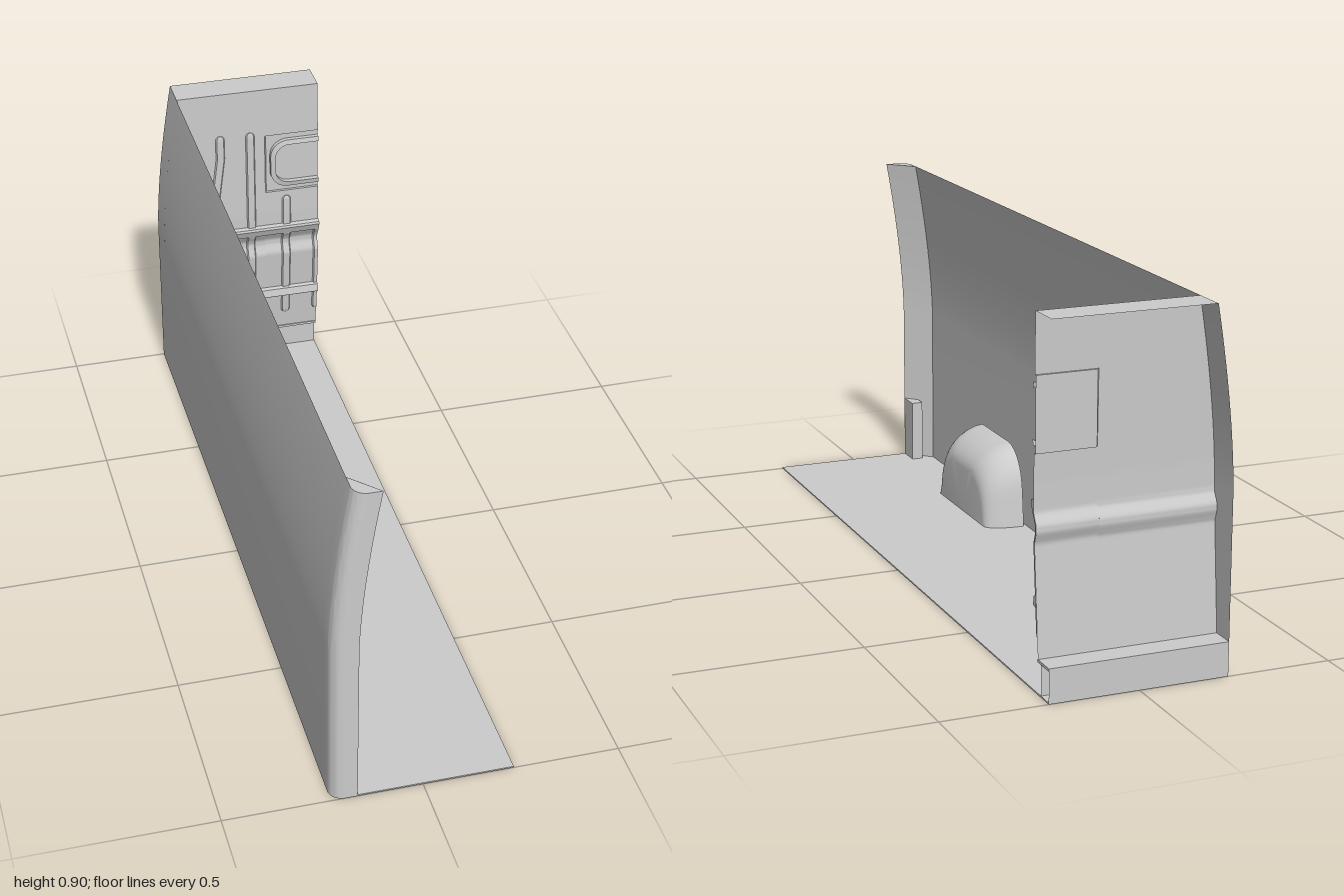
import * as THREE from 'three';
import { toCreasedNormals } from 'three/addons/utils/BufferGeometryUtils.js';

const material = new THREE.MeshStandardMaterial({ color: 0xcccccc, side: THREE.DoubleSide });
const TOP = 0.905, RIGHT = 0.23;

// Piecewise-linear lookup through [input, output] pairs
function lookup(table, v) {
  for (let i = 1; i < table.length; i++) {
    const [a, fa] = table[i - 1], [b, fb] = table[i];
    if (v <= b) return fa + (fb - fa) * Math.max(0, (v - a) / (b - a));
  }
  return table[table.length - 1][1];
}

// Side wall lean: straight below, curving inwards above
const wallX = y => y < 0.45 ? -0.231 : -0.231 + 0.051 * Math.pow((y - 0.45) / (TOP - 0.45), 1.6);

// Bulkhead depth, with a shallow groove under the upper rail
const bulkheadZ = y => lookup([
  [0.085, -0.937], [0.36, -0.912], [0.373, -0.917], [0.388, -0.922], [0.402, -0.922],
  [0.416, -0.915], [0.43, -0.906], [0.5, -0.905], [TOP, -0.91]], y);

const range = (a, b, n) => Array.from({ length: n + 1 }, (_, i) => a + (b - a) * i / n);

// Surface through rows of [x, y, z] points
function loft(rows, crease = 0.5) {
  const n = rows[0].length, index = [];
  for (let r = 0; r < rows.length - 1; r++) {
    for (let c = 0; c < n - 1; c++) {
      const a = r * n + c, b = a + n;
      index.push(a, a + 1, b, b, a + 1, b + 1);
    }
  }
  const g = new THREE.BufferGeometry();
  g.setAttribute('position', new THREE.Float32BufferAttribute(rows.flat(2), 3));
  g.setIndex(index);
  return toCreasedNormals(g, crease);
}

// U-shaped outline, open towards +x
function uOutline(x, y0, y1, r) {
  const pts = [[RIGHT, y1]];
  for (const a of range(Math.PI / 2, Math.PI, 8)) pts.push([x + r + r * Math.cos(a), y1 - r + r * Math.sin(a)]);
  for (const a of range(Math.PI, Math.PI * 1.5, 8)) pts.push([x + r + r * Math.cos(a), y0 + r + r * Math.sin(a)]);
  pts.push([RIGHT, y0]);
  return pts;
}

export function createModel() {
  const model = new THREE.Group();
  const add = (name, geometry, parent = model) => {
    const mesh = new THREE.Mesh(geometry, material);
    mesh.name = name;
    parent.add(mesh);
    return mesh;
  };
  const box = (name, x0, x1, y0, y1, z0, z1) =>
    add(name, new THREE.BoxGeometry(x1 - x0, y1 - y0, z1 - z0))
      .position.set((x0 + x1) / 2, (y0 + y1) / 2, (z0 + z1) / 2);

  // Floor with one rounded corner under the pillar
  const floor = new THREE.Shape([
    [RIGHT, -1], [RIGHT, 1], [-0.231, 1],
    ...range(Math.PI, Math.PI * 1.5, 8).map(a => [-0.196 + 0.035 * Math.cos(a), -0.965 + 0.035 * Math.sin(a)]),
  ].map(p => new THREE.Vector2(...p)));
  add('floor', new THREE.ExtrudeGeometry(floor, { depth: 0.004, bevelEnabled: false }).rotateX(-Math.PI / 2));

  // Side wall wrapping round into the door pillar and its inner chamfer
  const section = [[0, -1], [0, 0.93],
    ...range(Math.PI, Math.PI / 2, 8).map(a => [0.035 + 0.035 * Math.cos(a), 0.965 + 0.035 * Math.sin(a)]),
    [0.067, 1], [0.001, 0.93]];
  add('sideWall', loft([0, ...range(0.45, TOP, 18)].map(y => section.map(([d, z]) => [wallX(y) + d, y, z]))));
  const capEdge = section.slice(1, -1).map(([d, z]) => [wallX(TOP) + d, TOP, z]);
  add('pillarCap', loft([capEdge, capEdge.map(() => [wallX(TOP), TOP, 0.93])]));
  box('pillarFoot', -0.196, -0.164, 0, 0.18, 0.932, 0.999);

  // Wheel arch: an outline that shrinks as it bulges out of the wall
  const archRows = range(0, Math.PI / 2, 12).map(a => {
    const k = 1 - Math.cos(a), x = -0.222 + 0.105 * Math.sin(a);
    const h = 0.22 - 0.07 * k - 0.018 * Math.sin(a), w = 0.205 - 0.04 * k, ry = Math.min(0.12, h), rz = 0.105;
    const half = [[0, w], [h - ry, w - 0.01],
      ...range(0, Math.PI / 2, 10).slice(1).map(t => [
        h - ry + ry * Math.sin(t), w - 0.012 - rz + rz * Math.cos(t)])];
    return [...half.map(([y, z]) => [x, y, 0.41 + z]), ...half.reverse().map(([y, z]) => [x, y, 0.41 - z])];
  });
  archRows.push(archRows[12].map(() => [-0.117, 0, 0.41]));
  add('wheelArch', loft(archRows, 0.7));

  // Bulkhead sheet, leaving an opening for the window tray
  const bulkhead = new THREE.Group();
  bulkhead.name = 'bulkhead';
  model.add(bulkhead);
  const sheet = (x0, y0, y1) => loft(range(y0, y1, Math.ceil((y1 - y0) / 0.007))
    .map(y => [[x0 ?? wallX(y), y, bulkheadZ(y)], [x0 === null ? 0.072 : RIGHT, y, bulkheadZ(y)]]));
  add('mainSheet', sheet(null, 0.085, TOP), bulkhead);
  add('lowerSheet', sheet(0.072, 0.085, 0.573), bulkhead);
  add('upperSheet', sheet(0.072, 0.757, TOP), bulkhead);

  // Recessed window tray with a raised U-shaped frame
  const tray = uOutline(0.072, 0.573, 0.757, 0.002);
  const trayZ = -0.914;
  add('windowTray', loft([
    tray.map(([x, y]) => [x, y, bulkheadZ(y)]),
    tray.map(([x, y]) => [x + (RIGHT - x) * 0.03, y, trayZ]),
    tray.map(() => [RIGHT, 0.665, trayZ])]), bulkhead);
  const outer = uOutline(0.088, 0.59, 0.74, 0.05), inner = uOutline(0.102, 0.604, 0.726, 0.04);
  const ring = (pts, z) => pts.map(([x, y]) => [x, y, z]);
  add('windowFrame', loft([ring(outer, trayZ), ring(outer, -0.901), ring(inner, -0.898), ring(inner, trayZ)]), bulkhead);

  // Pressed ribs: centre lines as [y, x] pairs, with rounded ends
  const ribs = [
    [[0.147, -0.086], [0.5, -0.086], [0.7, -0.059], [0.775, -0.059]],
    [[0.138, 0.029], [0.775, 0.029]],
    [[0.138, 0.134], [0.557, 0.134]],
    [[0.138, 0.229], [0.445, 0.229]],
  ];
  for (const line of ribs) {
    const y0 = line[0][0], y1 = line[line.length - 1][0], r = 0.013;
    const ends = [0, 0.001, 0.003, 0.006, 0.009];
    const ys = [...ends.map(e => y0 + e), ...range(y0 + r, y1 - r, 90), ...ends.map(e => y1 - e).reverse()];
    add('rib', loft(ys.map(y => {
      const d = Math.min(r, y - y0, y1 - y), s = Math.sqrt(Math.max(0, 1 - (1 - d / r) ** 2));
      const cx = lookup(line, y), z = bulkheadZ(y) + 0.0008;
      return [[-r, 0], [-r * 0.75, 0.005 * s], [r * 0.75, 0.005 * s], [r, 0]]
        .map(([dx, dz]) => [Math.min(RIGHT, cx + dx * s), y, z + dz]);
    })), bulkhead);
  }

  // Horizontal rails across the bulkhead: [y, height above the sheet]
  const rails = {
    upperRail: [[0.464, 0.001], [0.461, 0.014], [0.454, 0.016], [0.432, 0.007], [0.429, 0.001]],
    lowerRail: [[0.237, 0.001], [0.234, 0.013], [0.213, 0.019], [0.21, 0.018], [0.208, 0.001]],
  };
  for (const [name, profile] of Object.entries(rails)) {
    const at = x => profile.map(([y, h]) => [x, y, bulkheadZ(y) + h]);
    const foot = x => profile.map(([y]) => [x, y, bulkheadZ(y) + 0.001]);
    add(name, loft([foot(-0.226), at(-0.226), at(RIGHT), foot(RIGHT)]), bulkhead);
  }

  // Header flange behind the top of the bulkhead
  add('headerFlange', loft([-0.91, -1].map(z => [[wallX(TOP), TOP, z], [RIGHT, TOP, z]])));

  // Hollow step below the bulkhead: ledge, rear face and gently jogged kick panel
  box('stepLedge', -0.231, RIGHT, 0.08, 0.087, -1, -0.934);
  add('stepBack', loft([0, 0.087].map(y => [[-0.231, y, -1], [RIGHT, y, -1]])));
  const kick = [[-0.231, -0.94], ...range(0, 1, 8).map(t =>
    [-0.053 + 0.027 * t, -0.94 - 0.015 * t * t * (3 - 2 * t)]), [RIGHT, -0.955]];
  add('kickPanel', loft([0, 0.082].map(y => kick.map(([x, z]) => [x, y, z]))));

  return model;
}
